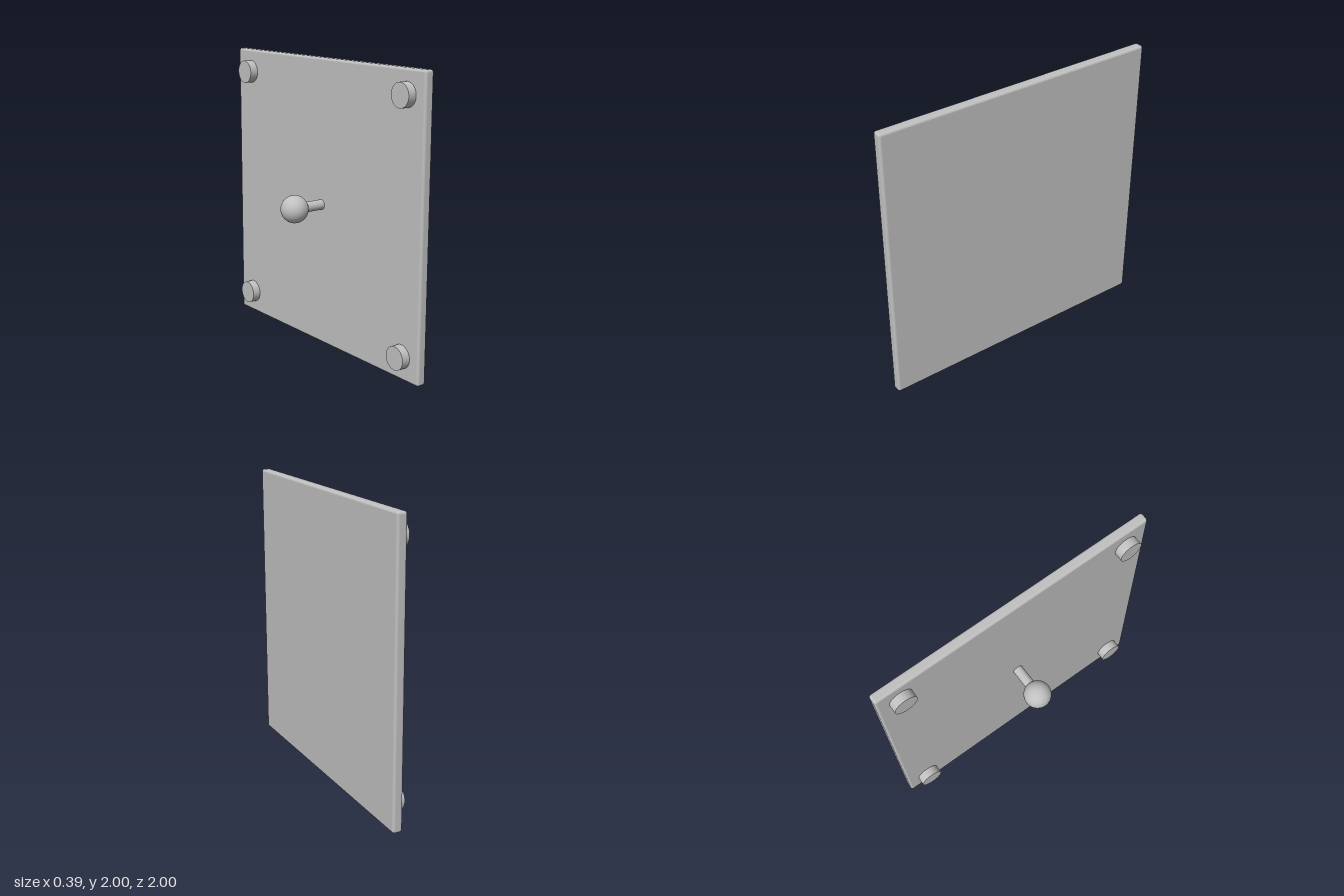
import * as THREE from 'three';
import { RoundedBoxGeometry } from 'three/addons/geometries/RoundedBoxGeometry.js';

export function createModel() {
  const group = new THREE.Group();
  const grey = new THREE.MeshStandardMaterial({ color: 0xc0c0c0 });
  grey.name = 'satin grey';

  const add = (name, geometry, x, y, z) => {
    const mesh = new THREE.Mesh(geometry, grey);
    mesh.name = name;
    mesh.position.set(x, y, z);
    group.add(mesh);
    return mesh;
  };

  // Cylinder lying along x between two ends
  const rod = (name, radius, x0, x1, y, z) => {
    const geometry = new THREE.CylinderGeometry(radius, radius, x1 - x0, 48);
    geometry.rotateZ(Math.PI / 2);
    return add(name, geometry, (x0 + x1) / 2, y, z);
  };

  // Square plate with softly rounded edges
  add('plate', new RoundedBoxGeometry(0.068, 2, 2, 4, 0.018), 0.161, 1, 0);

  // Round pads at the four corners
  for (const y of [0.16, 1.84]) {
    for (const z of [-0.84, 0.84]) rod('cornerPad', 0.08, 0.068, 0.135, y, z);
  }

  // Ball joint on a short stem
  rod('stem', 0.035, -0.09, 0.135, 1, 0);
  add('ball', new THREE.SphereGeometry(0.095, 48, 32), -0.1, 1, 0);

  return group;
}
